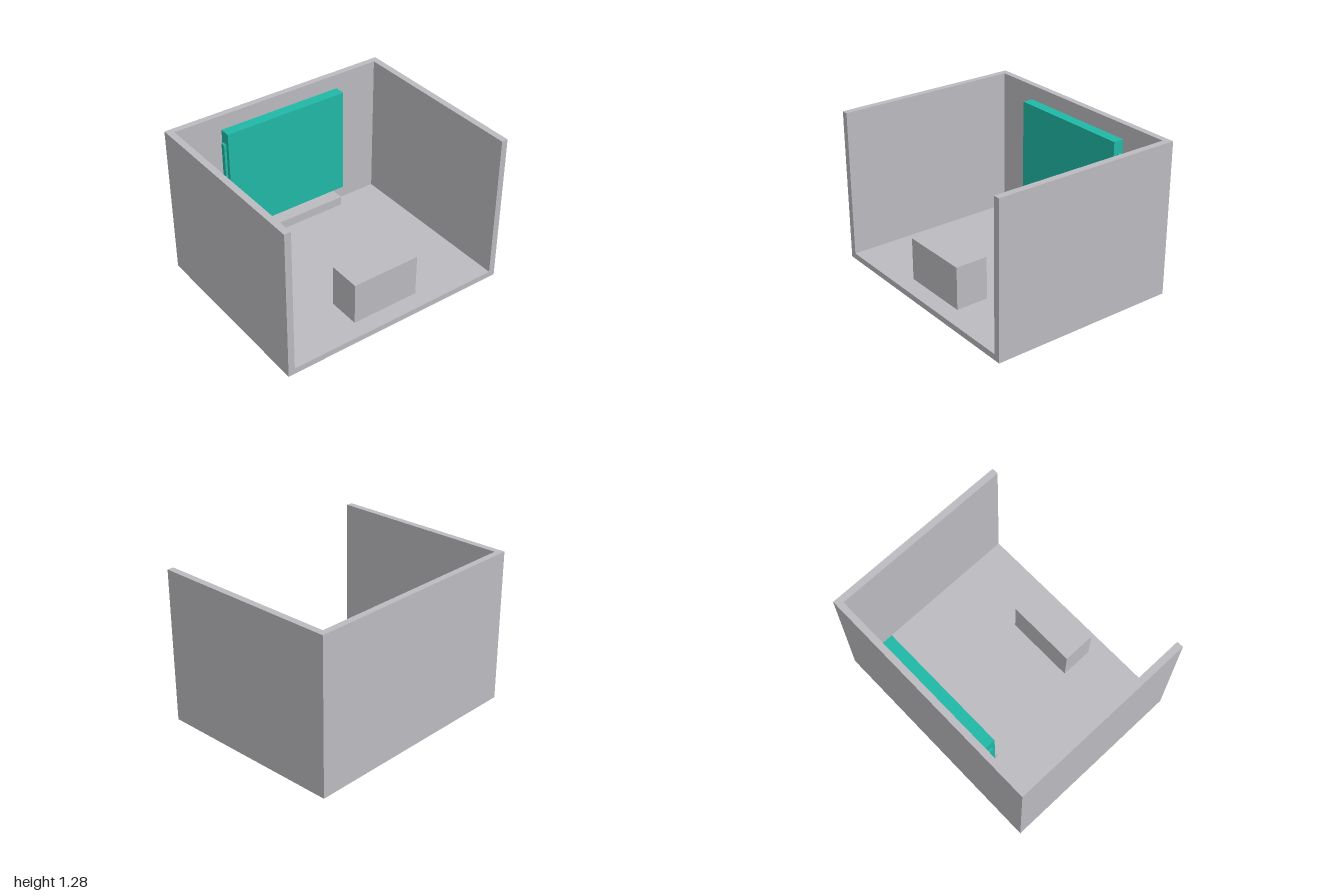
import * as THREE from 'three';

export function createModel() {
  const model = new THREE.Group();
  model.name = 'stageRoom';

  const grey = new THREE.MeshStandardMaterial({ color: 0xbbbbc0 });
  grey.name = 'light grey';
  const teal = new THREE.MeshStandardMaterial({ color: 0x20b8a6 });
  teal.name = 'teal';

  // Box given by its extents along each axis
  function box(name, material, [x0, x1], [y0, y1], [z0, z1]) {
    const mesh = new THREE.Mesh(new THREE.BoxGeometry(x1 - x0, y1 - y0, z1 - z0), material);
    mesh.position.set((x0 + x1) / 2, (y0 + y1) / 2, (z0 + z1) / 2);
    mesh.name = name;
    model.add(mesh);
  }

  // Room shell, open at the front and top
  box('floor', grey, [-1, 1], [0, 0.05], [-0.8, 0.8]);
  box('backWall', grey, [-0.945, 0.945], [0.05, 1.28], [-0.8, -0.747]);
  box('leftWall', grey, [0.945, 1], [0.05, 1.28], [-0.8, 0.8]);
  box('rightWall', grey, [-1, -0.945], [0.05, 1.28], [-0.8, 0.8]);

  // Desk block near the front and ledge under the screen
  box('desk', grey, [-0.297, 0.297], [0.05, 0.41], [0.38, 0.657]);
  box('ledge', grey, [-0.447, 0.447], [0.163, 0.24], [-0.735, -0.525]);

  // Screen with a slim strip on each side
  box('screen', teal, [-0.55, 0.55], [0.24, 1.165], [-0.732, -0.64]);
  box('leftStrip', teal, [0.55, 0.57], [0.423, 1.06], [-0.71, -0.672]);
  box('rightStrip', teal, [-0.57, -0.55], [0.423, 1.06], [-0.71, -0.672]);

  return model;
}
